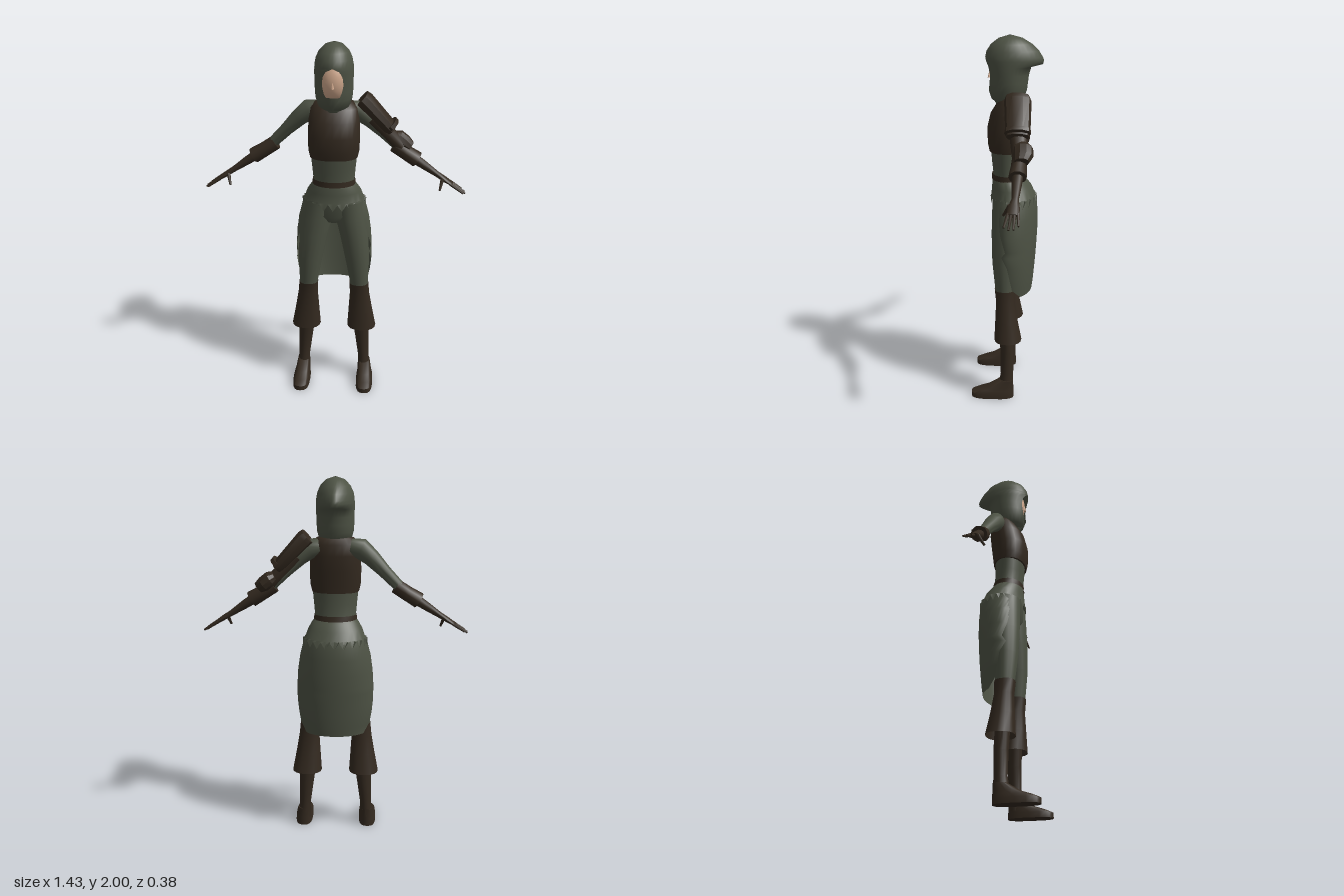
import * as THREE from 'three';
import { mergeVertices, toCreasedNormals } from 'three/addons/utils/BufferGeometryUtils.js';

const mat = (name, color) => {
  const m = new THREE.MeshStandardMaterial({ color, side: THREE.DoubleSide });
  m.name = name;
  return m;
};

// Skin over rings [x, y, halfWidth, zFront, zBack, frontGapAngle, backPoint].
// Rings are square to the path, or level (listed bottom to top) when flat is set.
function loft(rings, { n = 16, flat = false, caps = false, p = 1, cz = null, jag = 0, crease = 0.9 } = {}) {
  const pos = [], idx = [], last = rings.length - 1;
  const pow = (v, e) => Math.sign(v) * Math.abs(v) ** e;
  rings.forEach(([x, y, r, zf, zb, gap = 0, bp = 1], i) => {
    const a = rings[Math.max(i - 1, 0)], b = rings[Math.min(i + 1, last)];
    const d = flat ? new THREE.Vector2(0, 1) : new THREE.Vector2(b[0] - a[0], b[1] - a[1]).normalize();
    const mid = cz === null ? (zf + zb) / 2 : cz;
    for (let j = 0; j <= n; j++) {
      const t = gap + (2 * Math.PI - 2 * gap) * j / n, c = Math.cos(t);
      const s = r * pow(Math.sin(t), c < 0 ? p * bp : p);
      const k = pow(c, p);
      const tooth = i === 0 && j % 2 ? jag : 0;
      pos.push(x + d.y * s, y - d.x * s + tooth, mid + (c > 0 ? k * (zf - mid) : k * (mid - zb)));
    }
  });
  const w = n + 1;
  for (let i = 0; i < last; i++) for (let j = 0; j < n; j++) {
    const a = i * w + j, b = a + w;
    idx.push(a, a + 1, b + 1, a, b + 1, b);
  }
  if (caps) for (const i of [0, last]) {
    const [x, y, , zf, zb] = rings[i], c = pos.length / 3;
    pos.push(x, y, (zf + zb) / 2);
    for (let j = 0; j < n; j++) {
      const a = i * w + j;
      if (i === 0) idx.push(c, a + 1, a); else idx.push(c, a, a + 1);
    }
  }
  const g = new THREE.BufferGeometry();
  g.setAttribute('position', new THREE.Float32BufferAttribute(pos, 3));
  g.setIndex(idx);
  return toCreasedNormals(mergeVertices(g, 1e-5), crease);
}

// Tapered rod between two points
function rod(a, b, ra, rb) {
  const A = new THREE.Vector3(...a), B = new THREE.Vector3(...b), d = B.clone().sub(A);
  const g = new THREE.CylinderGeometry(rb, ra, d.length(), 7);
  g.applyQuaternion(new THREE.Quaternion().setFromUnitVectors(new THREE.Vector3(0, 1, 0), d.clone().normalize()));
  const m = A.add(B).multiplyScalar(0.5);
  return g.translate(m.x, m.y, m.z);
}

export function createModel() {
  const cloth = mat('greenCloth', 0x4d5244), leather = mat('brownLeather', 0x33291f), skin = mat('skin', 0xd2aa8e);
  const root = new THREE.Group();
  root.name = 'hoodedFigure';
  const add = (name, geo, m, parent = root) => {
    const mesh = new THREE.Mesh(geo, m);
    mesh.name = name;
    parent.add(mesh);
    return mesh;
  };
  const flat = { flat: true, n: 24 };

  // Hood with an open front and a hooked peak at the back
  add('hood', loft([
    [0, 1.65, 0.05, 0.045, -0.06], [0, 1.675, 0.083, 0.078, -0.09, 0.05],
    [0, 1.72, 0.096, 0.095, -0.108, 0.28], [0, 1.76, 0.099, 0.098, -0.113, 0.48],
    [0, 1.8, 0.1, 0.1, -0.118, 0.58], [0, 1.84, 0.101, 0.105, -0.13, 0.52],
    [0, 1.853, 0.101, 0.107, -0.19, 0.46, 1.6], [0, 1.872, 0.101, 0.11, -0.195, 0.33, 1.6],
    [0, 1.888, 0.1, 0.11, -0.19, 0, 1.5], [0, 1.92, 0.094, 0.103, -0.17, 0, 1.4],
    [0, 1.955, 0.078, 0.08, -0.135, 0, 1.2], [0, 1.985, 0.048, 0.04, -0.085],
    [0, 2, 0.004, -0.01, -0.03],
  ], { flat: true, n: 28, cz: -0.015, crease: 1.2 }), cloth);

  // Face, nose, mask and neck
  add('face', new THREE.SphereGeometry(1, 20, 14).scale(0.076, 0.11, 0.07).translate(0, 1.815, 0.018), skin);
  add('nose', new THREE.ConeGeometry(0.009, 0.035, 6).translate(0, 1.8, 0.089), skin);
  add('faceMask', loft([[0, 1.65, 0.04, 0.055, -0.04], [0, 1.69, 0.06, 0.08, -0.04], [0, 1.735, 0.075, 0.084, -0.04]], flat), cloth);
  add('neck', loft([[0, 1.6, 0.07, 0.03, -0.1], [0, 1.75, 0.055, 0.04, -0.08]], flat), cloth);

  // Torso, vest and belt
  add('waist', loft([[0, 1.2, 0.12, 0.07, -0.1], [0, 1.27, 0.111, 0.07, -0.088],
    [0, 1.34, 0.117, 0.078, -0.083], [0, 1.43, 0.126, 0.085, -0.085]], flat), cloth);
  add('vest', loft([[0, 1.4, 0.127, 0.09, -0.09], [0, 1.44, 0.136, 0.099, -0.094], [0, 1.52, 0.138, 0.102, -0.104],
    [0, 1.6, 0.134, 0.083, -0.112], [0, 1.66, 0.125, 0.045, -0.108], [0, 1.69, 0.1, 0.02, -0.095],
    [0, 1.7, 0.05, 0, -0.07]], { ...flat, p: 0.88, caps: true }), leather);
  add('belt', loft([[0, 1.245, 0.117, 0.079, -0.1], [0, 1.275, 0.115, 0.077, -0.094]], flat), leather);

  // Skirt top with a toothed front hem, and the long open back panel
  add('skirtTop', loft([[0, 1.112, 0.176, 0.086, -0.168], [0, 1.155, 0.163, 0.082, -0.158],
    [0, 1.2, 0.147, 0.078, -0.138], [0, 1.235, 0.126, 0.076, -0.11], [0, 1.25, 0.114, 0.073, -0.096]],
  { flat: true, n: 44, jag: 0.038 }), cloth);
  add('skirtPanel', loft([
    [0, 0.605, 0.185, 0.06, -0.143, 2.1], [0, 0.655, 0.195, 0.07, -0.15, 1.72],
    [0, 0.72, 0.205, 0.075, -0.156, 1.62], [0, 0.79, 0.212, 0.08, -0.162, 1.5],
    [0, 0.85, 0.213, 0.085, -0.166, 1.2], [0, 0.88, 0.212, 0.085, -0.168, 1.4],
    [0, 0.96, 0.207, 0.085, -0.172, 1.15], [0, 1.05, 0.194, 0.085, -0.172, 1.0],
    [0, 1.12, 0.176, 0.084, -0.168, 0.75], [0, 1.155, 0.163, 0.08, -0.158, 0.5],
  ], { flat: true, n: 32, cz: -0.02 }), cloth);
  add('hips', loft([[0, 1.03, 0.05, 0.05, -0.06], [0, 1.07, 0.13, 0.07, -0.1], [0, 1.2, 0.135, 0.07, -0.1]], flat), cloth);

  for (const s of [1, -1]) {
    const side = s > 0 ? 'left' : 'right';
    const M = rings => rings.map(([x, ...r]) => [x * s, ...r]);

    // Leg, flared boot cuff, shin and foot
    const leg = new THREE.Group();
    leg.name = side + 'Leg';
    root.add(leg);
    add('trouserLeg', loft(M([[0.15, 0.52, 0.045, 0.04, -0.045], [0.144, 0.65, 0.052, 0.055, -0.05],
      [0.132, 0.8, 0.068, 0.071, -0.06], [0.112, 0.95, 0.08, 0.075, -0.08], [0.094, 1.05, 0.088, 0.074, -0.095],
      [0.078, 1.15, 0.085, 0.07, -0.1]]), { flat: true }), cloth, leg);
    add('bootCuff', loft(M([[0.162, 0.35, 0.083, 0.06, -0.092], [0.155, 0.46, 0.069, 0.055, -0.07],
      [0.149, 0.57, 0.056, 0.05, -0.052], [0.144, 0.645, 0.054, 0.058, -0.053]]), { flat: true, p: 0.85 }), leather, leg);
    add('shin', loft(M([[0.183, 0.04, 0.038, 0.04, -0.048], [0.177, 0.14, 0.032, 0.024, -0.047],
      [0.167, 0.27, 0.04, 0.026, -0.05], [0.157, 0.4, 0.05, 0.032, -0.045]]), { flat: true }), leather, leg);
    add('foot', loft(M([[0.187, 0, 0.049, 0.19, -0.05], [0.187, 0.028, 0.048, 0.19, -0.05],
      [0.186, 0.045, 0.043, 0.15, -0.049], [0.185, 0.063, 0.039, 0.095, -0.048], [0.183, 0.105, 0.033, 0.026, -0.047]]),
    { flat: true, p: 0.7, caps: true, n: 20 }), leather, leg);

    // Sleeve, forearm cuff, glove and fingers
    const arm = new THREE.Group();
    arm.name = side + 'Arm';
    root.add(arm);
    add('sleeve', loft(M([[0.08, 1.645, 0.045, -0.01, -0.1], [0.135, 1.635, 0.056, -0.005, -0.112],
      [0.19, 1.59, 0.046, -0.015, -0.112], [0.26, 1.52, 0.035, -0.035, -0.113], [0.35, 1.43, 0.029, -0.055, -0.113]])), cloth, arm);
    add('forearmCuff', loft(M([[0.322, 1.443, 0.04, -0.045, -0.118], [0.38, 1.405, 0.04, -0.04, -0.118],
      [0.445, 1.366, 0.043, -0.03, -0.12]]), { n: 10, caps: true }), leather, arm);
    add('glove', loft(M([[0.4, 1.39, 0.029, -0.045, -0.108], [0.48, 1.338, 0.024, -0.048, -0.098],
      [0.555, 1.288, 0.016, -0.05, -0.086], [0.6, 1.26, 0.014, -0.033, -0.092], [0.64, 1.235, 0.01, -0.03, -0.092]]),
    { caps: true, n: 12 }), leather, arm);
    for (let i = 0; i < 4; i++) {
      const reach = [0.7, 0.712, 0.71, 0.692][i];
      add('finger', rod([s * 0.63, 1.241, -0.037 - i * 0.016], [s * reach, 1.19 + (0.71 - reach) * 0.6, -0.02 - i * 0.023], 0.009, 0.005), leather, arm);
    }
    add('thumb', rod([s * 0.585, 1.268, -0.045], [s * 0.571, 1.213, -0.012], 0.011, 0.006), leather, arm);
  }

  // Armour on the left arm only: shoulder plate, upper sleeve, elbow pad
  const armour = new THREE.Group();
  armour.name = 'leftArmArmour';
  root.add(armour);
  add('shoulderPlate', loft([[0.143, 1.7, 0.044, 0.0, -0.128], [0.16, 1.685, 0.048, 0.004, -0.135],
    [0.29, 1.548, 0.038, -0.008, -0.133], [0.305, 1.533, 0.03, -0.012, -0.128]], { n: 10, caps: true, p: 0.8, crease: 0.5 }), leather, armour);
  add('shoulderPlateRim', loft([[0.295, 1.565, 0.042, -0.004, -0.136], [0.31, 1.55, 0.04, -0.004, -0.136]],
    { n: 10, caps: true, p: 0.8, crease: 0.5 }), leather, armour);
  add('upperArmGuard', loft([[0.2, 1.6, 0.05, -0.01, -0.118], [0.28, 1.515, 0.04, -0.03, -0.12],
    [0.36, 1.435, 0.038, -0.045, -0.122]], { n: 12, caps: true }), leather, armour);
  add('elbowPad', loft([[0.315, 1.495, 0.026, -0.055, -0.13], [0.338, 1.482, 0.041, -0.05, -0.148],
    [0.375, 1.452, 0.042, -0.05, -0.15], [0.402, 1.43, 0.034, -0.055, -0.13]], { n: 10, caps: true, crease: 0.5 }), leather, armour);
  return root;
}
